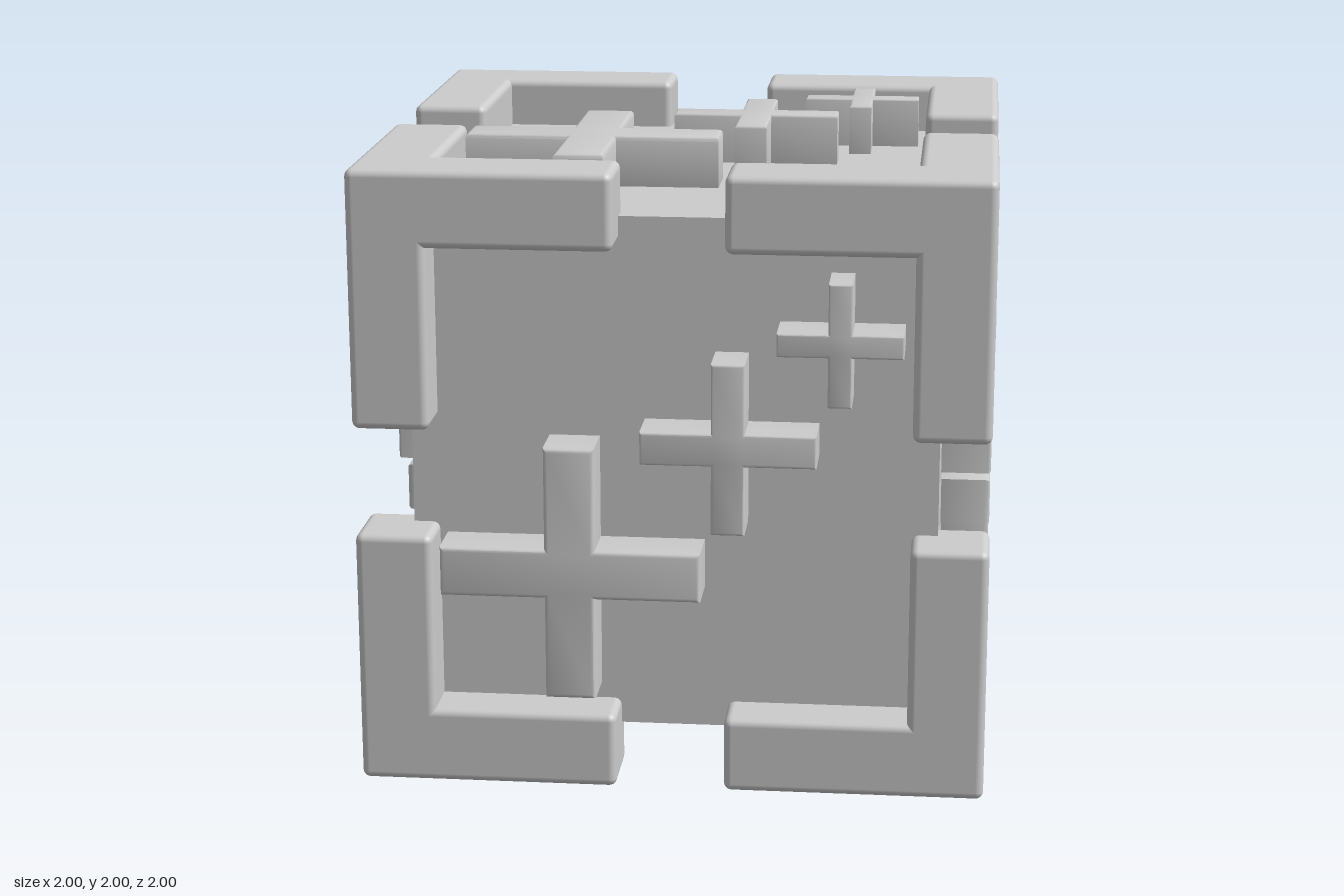
import * as THREE from 'three';
import { toCreasedNormals } from 'three/addons/utils/BufferGeometryUtils.js';
import { RoundedBoxGeometry } from 'three/addons/geometries/RoundedBoxGeometry.js';

const CORE = 0.835;      // half size of the inner cube
const ARM = 0.825;       // bracket arm length
const THICK = 0.245;     // bracket arm thickness
const OUTER = 0.997;     // outer face of the brackets
const INSET = 0.79;      // depth at which crosses start, inside the cube

const material = new THREE.MeshStandardMaterial({ color: 0xcccccc });

// Plus-shaped plate with softened edges, centred on the origin
function crossGeometry(length, width) {
  const l = length / 2, w = width / 2, depth = 1 - INSET;
  const b = width * 0.09;
  const shape = new THREE.Shape([
    [w, -l], [w, -w], [l, -w], [l, w], [w, w], [w, l],
    [-w, l], [-w, w], [-l, w], [-l, -w], [-w, -w], [-w, -l],
  ].map(([x, y]) => new THREE.Vector2(x, y)));
  const g = new THREE.ExtrudeGeometry(shape, {
    depth: depth - 2 * b, bevelThickness: b, bevelSize: b, bevelOffset: -b, bevelSegments: 3,
  });
  g.translate(0, 0, b - depth / 2);
  return toCreasedNormals(g, 0.7);
}

// Three rounded arms meeting at one corner of the cube
function cornerBracket(signs) {
  const bracket = new THREE.Group();
  bracket.name = 'cornerBracket';
  for (let axis = 0; axis < 3; axis++) {
    const size = [THICK, THICK, THICK];
    size[axis] = ARM;
    const arm = new THREE.Mesh(new RoundedBoxGeometry(...size, 3, 0.025), material);
    arm.name = 'bracketArm';
    arm.position.set(...size.map((s, i) => signs[i] * (OUTER - s / 2)));
    bracket.add(arm);
  }
  return bracket;
}

export function createModel() {
  const model = new THREE.Group();
  model.name = 'crossCube';
  const body = new THREE.Group();
  body.name = 'body';
  body.position.y = 1;
  model.add(body);

  const core = new THREE.Mesh(new THREE.BoxGeometry(2 * CORE, 2 * CORE, 2 * CORE), material);
  core.name = 'innerCube';
  body.add(core);

  // Brackets on all eight corners
  for (const x of [-1, 1]) for (const y of [-1, 1]) for (const z of [-1, 1]) {
    body.add(cornerBracket([x, y, z]));
  }

  // Diagonal row of three crosses, repeated on both faces of each axis
  const crosses = [
    { name: 'largeCross', u: -0.315, v: -0.285, geometry: crossGeometry(0.825, 0.16) },
    { name: 'mediumCross', u: 0.183, v: 0.135, geometry: crossGeometry(0.55, 0.105) },
    { name: 'smallCross', u: 0.527, v: 0.475, geometry: crossGeometry(0.39, 0.074) },
  ];
  const facePairs = [
    { name: 'frontAndBackCrosses', rotation: [0, 0, 0], shift: 0 },
    { name: 'sideCrosses', rotation: [0, -Math.PI / 2, 0], shift: 0.008 },
    { name: 'topAndBottomCrosses', rotation: [-Math.PI / 2, 0, 0], shift: 0 },
  ];
  for (const { name, rotation, shift } of facePairs) {
    const pair = new THREE.Group();
    pair.name = name;
    pair.rotation.set(...rotation);
    for (const side of [-1, 1]) for (const c of crosses) {
      const cross = new THREE.Mesh(c.geometry, material);
      cross.name = c.name;
      cross.position.set(c.u + shift, c.v, side * (1 + INSET) / 2);
      pair.add(cross);
    }
    body.add(pair);
  }
  return model;
}
